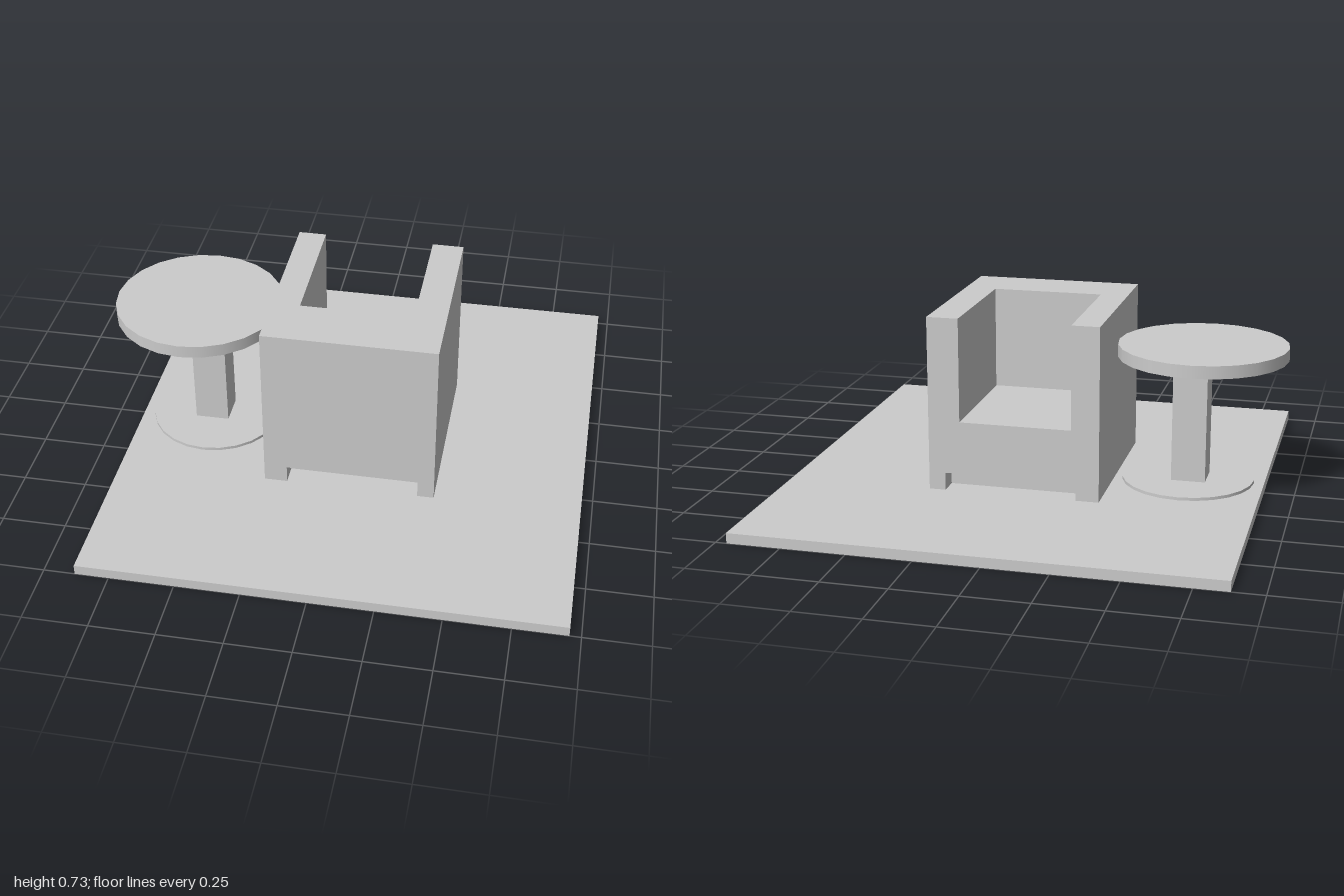
import * as THREE from 'three';

const material = new THREE.MeshStandardMaterial({ color: 0xcccccc });

function mesh(name, geometry) {
  const m = new THREE.Mesh(geometry, material);
  m.name = name;
  return m;
}

// Box given by its extents on each axis
function block(name, [x0, x1], [y0, y1], [z0, z1]) {
  const m = mesh(name, new THREE.BoxGeometry(x1 - x0, y1 - y0, z1 - z0));
  m.position.set((x0 + x1) / 2, (y0 + y1) / 2, (z0 + z1) / 2);
  return m;
}

// Flat round plate between two heights
function disc(name, x, z, radius, y0, y1) {
  const m = mesh(name, new THREE.CylinderGeometry(radius, radius, y1 - y0, 24));
  m.position.set(x, (y0 + y1) / 2, z);
  return m;
}

function createArmchair() {
  const chair = new THREE.Group();
  chair.name = 'armchair';
  const X = [-0.29, 0.385], Z = [-0.37, 0.385];
  const inner = [-0.18, 0.26], backInner = 0.16;
  const floorY = 0.04, footY = 0.11, seatY = 0.32, topY = 0.73;

  // U-shaped wall: both arms and the backrest (shape y is -z)
  const plan = new THREE.Shape([
    [X[0], Z[0]], [X[0], Z[1]], [X[1], Z[1]], [X[1], Z[0]],
    [inner[1], Z[0]], [inner[1], backInner], [inner[0], backInner], [inner[0], Z[0]],
  ].map(([x, z]) => new THREE.Vector2(x, -z)));
  const wall = new THREE.ExtrudeGeometry(plan, { depth: topY - seatY, bevelEnabled: false });
  wall.rotateX(-Math.PI / 2);
  const armsAndBack = mesh('armsAndBack', wall);
  armsAndBack.position.y = seatY;

  chair.add(
    armsAndBack,
    block('seat', X, [footY, seatY], Z),
    // Side runners with a recessed plinth between them
    block('rightRunner', [X[0], -0.2], [floorY, footY], Z),
    block('leftRunner', [0.32, X[1]], [floorY, footY], Z),
    block('plinth', [-0.2, 0.32], [floorY, footY], [Z[0] + 0.08, Z[1] - 0.08]),
  );
  return chair;
}

function createTable() {
  const table = new THREE.Group();
  table.name = 'sideTable';
  table.add(
    disc('tableBase', -0.578, -0.01, 0.262, 0.04, 0.052),
    block('tableColumn', [-0.655, -0.52], [0.05, 0.55], [-0.08, 0.05]),
    disc('tableTop', -0.626, -0.01, 0.333, 0.547, 0.597),
  );
  return table;
}

export function createModel() {
  const model = new THREE.Group();
  model.name = 'armchairWithTable';
  model.add(
    block('floorSlab', [-0.88, 0.957], [0, 0.04], [-1, 1]),
    createArmchair(),
    createTable(),
  );
  return model;
}
